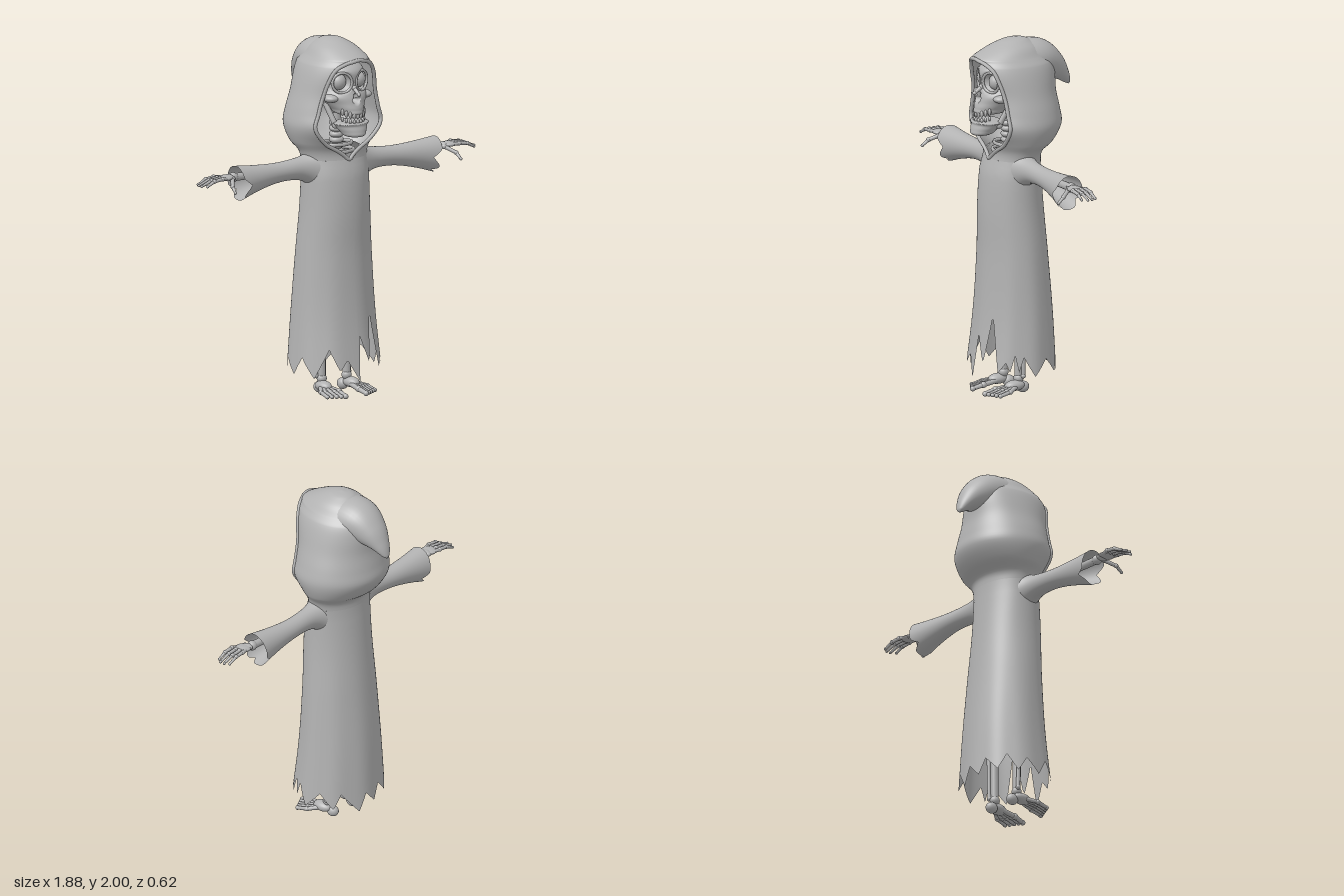
import * as THREE from 'three';
import { mergeVertices } from 'three/addons/utils/BufferGeometryUtils.js';

const grey = new THREE.MeshStandardMaterial({ color: 0xb2b2b2, side: THREE.DoubleSide });
grey.name = 'pale grey';

const V = (x, y, z) => new THREE.Vector3(x, y, z);
const rad = Math.PI / 180;

function add(parent, name, geometry) {
  const mesh = new THREE.Mesh(geometry, grey);
  mesh.name = name;
  parent.add(mesh);
  return mesh;
}

// Smooth lookup in a table of rows sorted by their first number
function sample(table, t) {
  let i = 0;
  while (i < table.length - 2 && t > table[i + 1][0]) i++;
  const a = table[i], b = table[i + 1], p = table[i - 1] || a, n = table[i + 2] || b;
  const h = b[0] - a[0], u = (t - a[0]) / h, u2 = u * u, u3 = u2 * u;
  return a.map((_, k) => {
    const ma = (b[k] - p[k]) / (b[0] - p[0]) * h, mb = (n[k] - a[k]) / (n[0] - a[0]) * h;
    return (2 * u3 - 3 * u2 + 1) * a[k] + (u3 - 2 * u2 + u) * ma + (3 * u2 - 2 * u3) * b[k] + (u3 - u2) * mb;
  });
}

// Several steps between each pair of table rows
function steps(table, n) {
  const out = [table[0][0]];
  for (let i = 1; i < table.length; i++)
    for (let k = 1; k <= n; k++) out.push(table[i - 1][0] + (table[i][0] - table[i - 1][0]) * k / n);
  return out;
}

// Surface from a grid of points; coinciding seams are welded smooth
function grid(rows, cols, point) {
  const pos = [], index = [];
  for (let i = 0; i <= rows; i++) for (let j = 0; j <= cols; j++) pos.push(...point(i, j / cols));
  for (let i = 0; i < rows; i++) for (let j = 0; j < cols; j++) {
    const a = i * (cols + 1) + j, c = a + cols + 1;
    index.push(a, a + 1, c + 1, a, c + 1, c);
  }
  let g = new THREE.BufferGeometry();
  g.setAttribute('position', new THREE.Float32BufferAttribute(pos, 3));
  g.setIndex(index);
  g = mergeVertices(g, 1e-5);
  g.computeVertexNormals();
  return g;
}

// Horizontal section of a [y, halfWidth, front z, back z] table
function section(table, y, angle) {
  const [, w, f, b] = sample(table, y);
  return [Math.max(0, w) * Math.sin(angle), y, (f + b) / 2 + (f - b) / 2 * Math.cos(angle)];
}

function bone(parent, name, a, b, r, r2 = r) {
  const d = b.clone().sub(a);
  const shaft = add(parent, name, new THREE.CylinderGeometry(r2 * 0.8, r * 0.8, d.length(), 12));
  shaft.position.copy(a).addScaledVector(d, 0.5);
  shaft.quaternion.setFromUnitVectors(V(0, 1, 0), d.clone().normalize());
  ball(parent, name + 'Joint', a, r, r, r);
  ball(parent, name + 'Joint', b, r2, r2, r2);
}

function ball(parent, name, p, rx, ry, rz) {
  const m = add(parent, name, new THREE.SphereGeometry(1, 20, 14));
  m.position.copy(p);
  m.scale.set(rx, ry, rz);
  return m;
}

// y, half width, front z, back z, half width of the face opening
const ROBE = [
  [0.08, 0.275, 0.305, -0.185, 0], [0.45, 0.245, 0.26, -0.165, 0], [0.8, 0.222, 0.24, -0.135, 0],
  [1.05, 0.205, 0.24, -0.112, 0], [1.25, 0.2, 0.225, -0.095, 0], [1.33, 0.2, 0.2, -0.09, 0]];
const HOOD = [
  [1.33, 0.2, 0.2, -0.09, 0], [1.38, 0.215, 0.2, -0.1, 0.065], [1.43, 0.25, 0.228, -0.16, 0.15],
  [1.52, 0.278, 0.29, -0.215, 0.222], [1.6, 0.265, 0.28, -0.207, 0.205], [1.7, 0.235, 0.28, -0.19, 0.178],
  [1.8, 0.208, 0.3, -0.19, 0.15], [1.86, 0.185, 0.3, -0.18, 0.115], [1.89, 0.162, 0.29, -0.16, 0.06],
  [1.905, 0.15, 0.285, -0.15, 0], [1.95, 0.115, 0.2, -0.1, 0], [1.98, 0.072, 0.13, -0.05, 0],
  [1.993, 0.042, 0.085, -0.02, 0], [2, 0, 0.03, 0.03, 0]];
// Ragged hem: angle from the front, height
const HEM = [[0, 0.1], [4, 0.345], [17, 0.19], [27, 0.465], [40, 0.15], [50, 0.21], [56, 0.16], [62, 0.25], [68, 0.16],
  [74, 0.24], [90, 0.13], [110, 0.22], [129, 0.13], [138, 0.22], [162, 0.1], [172, 0.2], [186, 0.13], [196, 0.22],
  [212, 0.14], [224, 0.23], [238, 0.13], [250, 0.21], [268, 0.13], [284, 0.23], [302, 0.12], [322, 0.28],
  [335, 0.16], [345, 0.22], [360, 0.1]];

function hemAt(deg) {
  const i = Math.max(1, HEM.findIndex(h => h[0] >= deg - 1e-6)), [a, ya] = HEM[i - 1], [b, yb] = HEM[i];
  return ya + (yb - ya) * (deg - a) / (b - a);
}

function buildRobe(g) {
  const full = [...ROBE, ...HOOD.slice(1)];
  add(g, 'robe', grid(30, 180, (i, u) => {
    const hem = hemAt(u * 360), y = hem + (1.33 - hem) * i / 30, p = section(full, y, u * 2 * Math.PI);
    const fold = 1 + 0.012 * Math.sin(u * 18 * Math.PI) * Math.max(0, 1 - y / 1.2);
    return [p[0] * fold, y, 0.06 + (p[2] - 0.06) * fold];
  }));

  // Hood, open around the face
  const ys = steps(HOOD, 5), left = [], right = [];
  const start = y => {
    const [, w, , , o] = sample(HOOD, y);
    return y >= 1.905 ? 0 : Math.asin(Math.min(0.95, Math.max(0, o) / Math.max(w, 0.01)));
  };
  add(g, 'hood', grid(ys.length - 1, 72, (i, u) => {
    const a = start(ys[i]);
    return section(full, ys[i], a + u * 2 * (Math.PI - a));
  }));
  ys.filter((y, i) => y <= 1.9051 && i % 2 === 0).forEach(y => {
    const p = section(full, y, start(y));
    left.push(V(...p));
    if (p[0] > 0.001) right.unshift(V(-p[0], p[1], p[2]));
  });
  const rim = new THREE.CatmullRomCurve3([...left, ...right], true);
  add(g, 'hoodRim', new THREE.TubeGeometry(rim, 140, 0.011, 8, true));

  // Drooping point: step, z, y, thickness, half width
  const TAIL = [[0, 0, 1.86, 0.125, 0.14], [1, -0.1, 1.86, 0.115, 0.128], [2, -0.19, 1.815, 0.083, 0.095],
    [3, -0.253, 1.762, 0.045, 0.058], [4, -0.294, 1.71, 0.016, 0.024], [4.4, -0.302, 1.692, 0, 0]];
  const ts = steps(TAIL, 6);
  add(g, 'hoodPoint', grid(ts.length - 1, 36, (i, u) => {
    const [, z, y, r, w] = sample(TAIL, ts[i]);
    const p = sample(TAIL, Math.max(0, ts[i] - 0.05)), n = sample(TAIL, Math.min(4.4, ts[i] + 0.05));
    const l = Math.hypot(n[1] - p[1], n[2] - p[2]), tz = (n[1] - p[1]) / l, ty = (n[2] - p[2]) / l;
    const c = Math.cos(u * 2 * Math.PI) * w, s = Math.sin(u * 2 * Math.PI) * r;
    return [c, y + tz * s, z - ty * s];
  }));
}

function buildArm(g, s) {
  // Sleeve: x, centre y, half height, half depth, centre z
  const SLEEVE = [[0.13, 1.27, 0.125, 0.1, 0.065], [0.2, 1.282, 0.08, 0.07, 0.065], [0.27, 1.286, 0.06, 0.056, 0.063],
    [0.4, 1.28, 0.056, 0.055, 0.06], [0.55, 1.268, 0.075, 0.068, 0.064], [0.69, 1.253, 0.104, 0.089, 0.07]];
  const notch = (deg, at, half) => Math.max(0, 1 - Math.abs(deg - at) / half);
  add(g, 'sleeve', grid(24, 72, (i, u) => {
    const deg = s > 0 ? u * 360 : 360 - u * 360, a = deg * rad;
    const end = 0.672 + 0.012 * Math.cos(a) - 0.05 * notch(deg, 95, 28) - 0.03 * notch(deg, 150, 14) - 0.04 * notch(deg, 235, 22);
    const x = 0.13 + (end - 0.13) * i / 24, [, cy, ry, rz, cz] = sample(SLEEVE, x);
    return [s * x, cy + ry * Math.cos(a), cz + rz * Math.sin(a)];
  }));
  // Arm bones and hand
  const P = (x, y, z) => V(s * x, y, z);
  bone(g, 'forearm', P(0.3, 1.285, 0.065), P(0.7, 1.295, 0.07), 0.024, 0.028);
  ball(g, 'wrist', P(0.735, 1.3, 0.075), 0.025, 0.018, 0.035);
  ball(g, 'palm', P(0.765, 1.302, 0.08), 0.045, 0.015, 0.046);
  [[0.04, 0.925], [0.067, 0.94], [0.094, 0.94], [0.121, 0.92]].forEach(([z, tip]) => {
    const k = P(0.81, 1.306, z), m = P(0.865, 1.3, z), t = P(tip - 0.008, 1.276, z);
    bone(g, 'handBone', P(0.74, 1.3, 0.08 + (z - 0.08) * 0.6), k, 0.011, 0.013);
    bone(g, 'finger', k, m, 0.013, 0.012);
    bone(g, 'fingertip', m, t, 0.012, 0.008);
  });
  bone(g, 'thumbBase', P(0.725, 1.295, 0.1), P(0.765, 1.265, 0.155), 0.015, 0.013);
  bone(g, 'thumbTip', P(0.765, 1.265, 0.155), P(0.772, 1.235, 0.19), 0.013, 0.009);
}

function buildLeg(g, s) {
  const P = (x, y, z) => V(s * x, y, z);
  bone(g, 'shin', P(0.085, 0.085, 0.06), P(0.09, 0.62, 0.06), 0.028, 0.032);
  bone(g, 'calfBone', P(0.112, 0.1, 0.045), P(0.12, 0.6, 0.045), 0.014, 0.018);
  bone(g, 'thigh', P(0.09, 0.62, 0.06), P(0.09, 1.0, 0.06), 0.034);
  ball(g, 'heel', P(0.08, 0.032, 0.03), 0.03, 0.032, 0.036);
  ball(g, 'instep', P(0.095, 0.048, 0.09), 0.038, 0.03, 0.06);
  for (let i = 0; i < 5; i++) {
    const x = 0.066 + i * 0.023, r = i === 0 ? 0.018 : 0.014, z = 0.265 - 0.012 * i - (i === 0 ? 0.003 : 0);
    bone(g, 'footBone', P(0.075 + i * 0.01, 0.045, 0.09), P(x, 0.03, z - 0.065), 0.016, r);
    bone(g, 'toe', P(x, 0.03, z - 0.065), P(x + 0.004, 0.015, z), r, r * 0.85);
  }
}

function buildSkull(g) {
  const SKULL = [[1.585, 0, 0.2, 0.18], [1.59, 0.06, 0.275, 0.11], [1.62, 0.085, 0.285, 0.06], [1.655, 0.115, 0.275, 0],
    [1.69, 0.148, 0.265, -0.06], [1.73, 0.14, 0.25, -0.1], [1.78, 0.143, 0.25, -0.12], [1.83, 0.138, 0.25, -0.11],
    [1.865, 0.108, 0.215, -0.07], [1.885, 0.06, 0.16, 0], [1.89, 0, 0.08, 0.08]];
  const ys = steps(SKULL, 6);
  const dent = (d, r) => { const t = Math.max(0, 1 - (d / r) ** 4); return t * t; };
  add(g, 'skull', grid(ys.length - 1, 128, (i, u) => {
    const p = section(SKULL, ys[i], u * 2 * Math.PI);
    if (p[2] > 0.1) {
      p[2] -= 0.075 * dent(Math.hypot(Math.abs(p[0]) - 0.066, p[1] - 1.772), 0.062);
      p[2] -= 0.05 * dent(Math.hypot(p[0] * (p[1] < 1.68 ? 1 : 1.6), (p[1] - 1.68) * 0.8), 0.026);
    }
    return p;
  }));
  bone(g, 'noseBridge', V(0, 1.74, 0.245), V(0, 1.708, 0.29), 0.016, 0.011);

  // Jaw and teeth
  const JAW = [[1.47, 0, 0.25, 0.25], [1.473, 0.05, 0.3, 0.2], [1.5, 0.076, 0.305, 0.16], [1.53, 0.094, 0.295, 0.14],
    [1.55, 0.094, 0.285, 0.14], [1.553, 0, 0.2, 0.2]];
  const js = steps(JAW, 4);
  add(g, 'jaw', grid(js.length - 1, 48, (i, u) => section(JAW, js[i], u * 2 * Math.PI)));
  for (let i = -4; i <= 4; i++) {
    const a = i * 0.27, x = 0.082 * Math.sin(a), z = 0.195 + 0.085 * Math.cos(a), lift = 0.002 * i * i;
    ball(g, 'upperTooth', V(x, 1.59 + lift * 0.6, z), 0.0105, 0.02, 0.009);
    ball(g, 'lowerTooth', V(x, 1.555 + lift * 0.5, z), 0.009, 0.013, 0.009);
  }
  for (const s of [-1, 1]) {
    ball(g, 'eyeball', V(s * 0.066, 1.774, 0.187), 0.044, 0.046, 0.044);
    const ring = add(g, 'eyeSocketRim', new THREE.TorusGeometry(0.056, 0.008, 8, 32));
    ring.position.set(s * 0.066, 1.772, 0.224);
    ring.rotation.y = s * 0.38;
    ball(g, 'cheekbone', V(s * 0.112, 1.685, 0.175), 0.045, 0.024, 0.055);
    bone(g, 'jawHinge', V(s * 0.08, 1.53, 0.18), V(s * 0.112, 1.66, 0.12), 0.02, 0.018);
  }

  // Neck and collar
  for (let i = 0; i < 6; i++) {
    const v = add(g, 'vertebra', new THREE.TorusGeometry(0.026, 0.015, 10, 24));
    v.position.set(0, 1.36 + i * 0.032, 0.08);
    v.rotation.x = Math.PI / 2;
  }
  bone(g, 'neck', V(0, 1.3, 0.08), V(0, 1.6, 0.08), 0.034);
  [1.365, 1.405].forEach((y, i) => {
    const c = add(g, 'collarRib', new THREE.TorusGeometry(0.1 - i * 0.012, 0.011, 8, 40));
    c.position.set(0, y, 0.085);
    c.rotation.x = Math.PI / 2;
    c.scale.y = 0.75;
  });
}

export function createModel() {
  const model = new THREE.Group();
  model.name = 'hoodedSkeleton';
  const part = (name, build, side) => {
    const g = new THREE.Group();
    g.name = name;
    build(g, side);
    model.add(g);
  };
  part('hoodedRobe', buildRobe);
  part('head', buildSkull);
  for (const s of [1, -1]) {
    part(s > 0 ? 'leftArm' : 'rightArm', buildArm, s);
    part(s > 0 ? 'leftLeg' : 'rightLeg', buildLeg, s);
  }
  return model;
}
